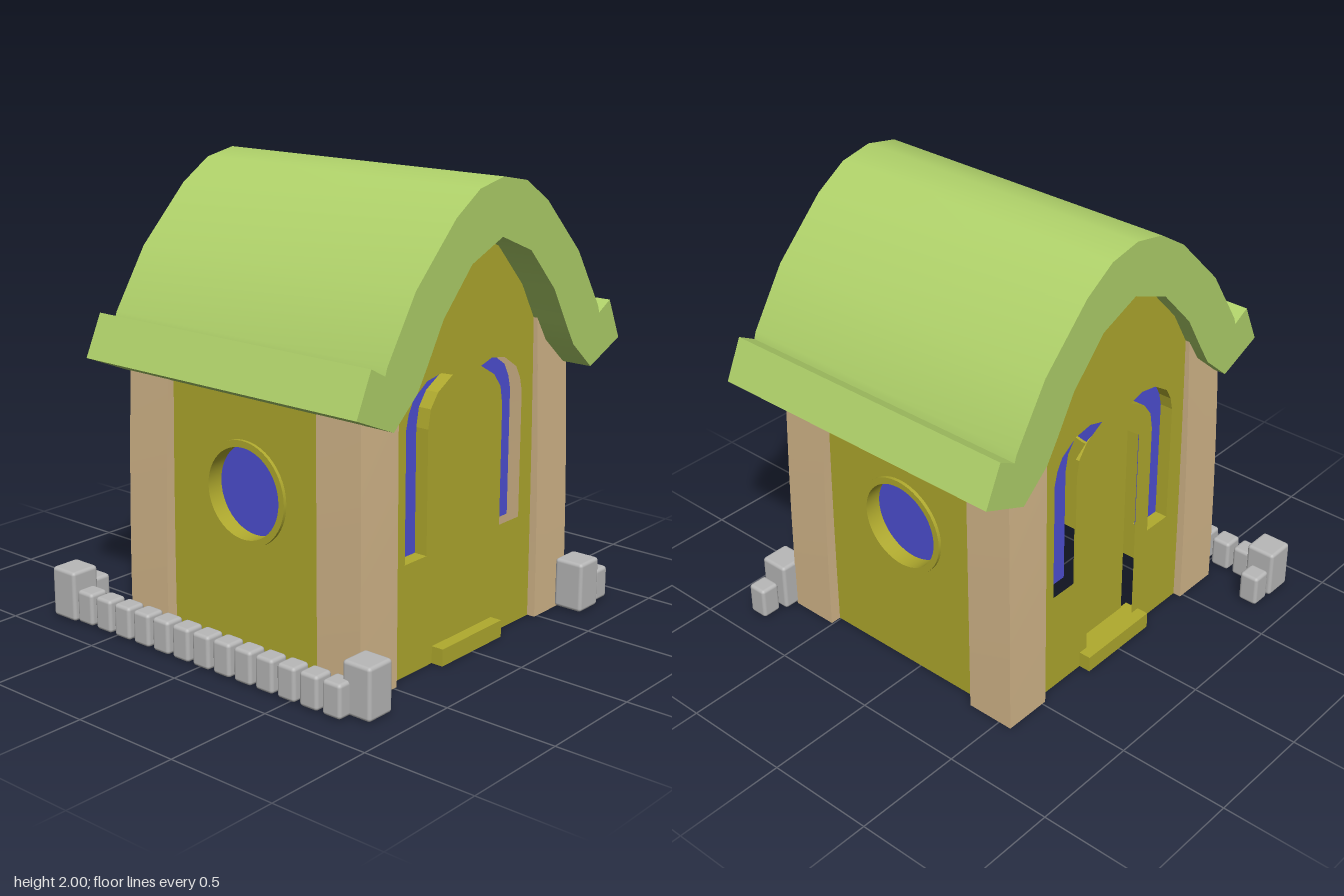
import * as THREE from 'three';
import { toCreasedNormals } from 'three/addons/utils/BufferGeometryUtils.js';
import { RoundedBoxGeometry } from 'three/addons/geometries/RoundedBoxGeometry.js';

const paint = (name, color) => {
  const m = new THREE.MeshStandardMaterial({ color });
  m.name = name;
  return m;
};

// closed outline from one half, mirrored across the vertical axis
const mirrored = (half) => [
  ...half,
  ...half.filter(([u]) => u > 0).reverse().map(([u, v]) => [-u, v]),
];
const outline = (pts) => new THREE.Shape(pts.map(([u, v]) => new THREE.Vector2(u, v)));
const extrude = (shape, depth) =>
  new THREE.ExtrudeGeometry(shape, { depth, bevelEnabled: false, curveSegments: 24 });
// extrusion along x: the outline lies in (z, y), between x0 and x1
const extrudeX = (shape, x0, x1) =>
  extrude(shape, x1 - x0).rotateY(-Math.PI / 2).translate(x1, 0, 0);

export function createModel() {
  const group = new THREE.Group();
  group.name = 'cottage';
  const roofGreen = paint('roof green', 0xb0d26a);
  const wallOlive = paint('wall olive', 0xb0aa2e);
  const postTan = paint('post tan', 0xd4b78a);
  const glassBlue = paint('glass blue', 0x4e50d4);
  const stoneGrey = paint('stone grey', 0xb8b8b8);

  const add = (name, geometry, material) => {
    const mesh = new THREE.Mesh(geometry, material);
    mesh.name = name;
    group.add(mesh);
    return mesh;
  };
  const cx = 0.085; // middle of the house

  // curved roof with upturned eaves
  const outer = [[0, 2], [0.154, 1.97], [0.303, 1.875], [0.543, 1.635], [0.707, 1.377],
    [0.718, 1.345], [0.798, 1.388], [0.88, 1.21]];
  const inner = [[0.665, 1.12], [0.527, 1.24], [0.468, 1.335], [0.372, 1.5], [0.197, 1.685], [0, 1.765]];
  const roofPts = mirrored([...outer, ...inner]);
  add('roof', toCreasedNormals(extrudeX(outline(roofPts), -0.6, 0.855), 0.5), roofGreen);

  // gable walls with two hooked windows each, and a door on the -x side
  const gable = mirrored([[0, 1.795], [0.197, 1.715], [0.372, 1.53], [0.468, 1.365],
    [0.527, 1.27], [0.64, 1.17], [0.64, 0]]);
  const hook = [[0.39, 0.48], [0.39, 1.04], [0.375, 1.1], [0.345, 1.155], [0.26, 1.21], [0.17, 1.225],
    [0.095, 1.204], [0.19, 1.15], [0.235, 1.09], [0.25, 1.01], [0.25, 0.48]];
  const door = mirrored([[0, 1.1], [0.08, 1.08], [0.16, 1.02], [0.16, 0.05]]);
  for (const side of [1, -1]) {
    const face = cx + side * 0.61;
    const slab = (pts, from, to) => {
      const a = face - side * from, b = face - side * to;
      return extrudeX(pts, Math.min(a, b), Math.max(a, b));
    };
    const wall = outline(gable);
    for (const s of [1, -1]) {
      const pts = hook.map(([z, y]) => [s * z, y]);
      wall.holes.push(outline(pts));
      add('sideWindow', slab(outline(pts), 0.06, 0.069), glassBlue);
    }
    if (side < 0) {
      wall.holes.push(outline(door));
      add('door', slab(outline(door), 0.06, 0.08), wallOlive);
    }
    add('gableWall', slab(wall, 0, 0.08), wallOlive);
    add('doorstep', new THREE.BoxGeometry(0.12, 0.075, 0.41), wallOlive)
      .position.set(face - side * 0.005, 0.0375, 0);
  }

  // front and back walls with a round framed window
  const longWall = outline([[-0.5, 0], [0.67, 0], [0.67, 1.17], [-0.5, 1.17]]);
  const circle = (r) => new THREE.Path().absarc(0.08, 0.715, r, 0, Math.PI * 2, true);
  longWall.holes.push(circle(0.21));
  const ring = new THREE.Shape().absarc(0.08, 0.715, 0.224, 0, Math.PI * 2, false);
  ring.holes.push(circle(0.195));
  for (const side of [1, -1]) {
    const place = (geometry, from, depth) =>
      geometry.translate(0, 0, side > 0 ? from : -from - depth);
    add('longWall', place(extrude(longWall, 0.08), 0.575, 0.08), wallOlive);
    add('windowRing', place(toCreasedNormals(extrude(ring, 0.1), 0.5), 0.57, 0.1), wallOlive);
    const pane = new THREE.CylinderGeometry(0.2, 0.2, 0.009, 40).rotateX(Math.PI / 2);
    add('roundWindow', pane, glassBlue).position.set(0.08, 0.715, side * 0.59);
  }

  // corner posts, leaning gently inward and cut to the slope of the roof
  for (const sx of [1, -1]) for (const sz of [1, -1]) {
    const post = new THREE.BoxGeometry(0.225, 1, 0.225, 1, 5, 1);
    const p = post.attributes.position;
    for (let i = 0; i < p.count; i++) {
      const t = p.getY(i) + 0.5;
      const top = p.getZ(i) * sz > 0 ? 1.22 : 1.42;
      const lean = 0.02 * t * t;
      p.setXYZ(i, p.getX(i) + cx + sx * (0.535 - lean), t * top, p.getZ(i) + sz * (0.593 - lean));
    }
    post.computeVertexNormals();
    add('cornerPost', post, postTan);
  }

  // rounded border stones
  const stone = (x, z, big) => {
    const w = big ? 0.14 : 0.094, h = big ? 0.225 : 0.147;
    add(big ? 'cornerStone' : 'borderStone', new RoundedBoxGeometry(w, h, w, 2, 0.016), stoneGrey)
      .position.set(x, 0.005 + h / 2, z);
  };
  for (let i = 0; i < 13; i++) stone(-0.685 + i * 0.1173, 0.825, false);
  stone(-0.805, 0.815, true);
  stone(-0.82, 0.688, false);
  stone(0.8, 0.745, true);
  stone(0.8, -0.705, true);
  stone(0.8, -0.838, false);

  return group;
}
